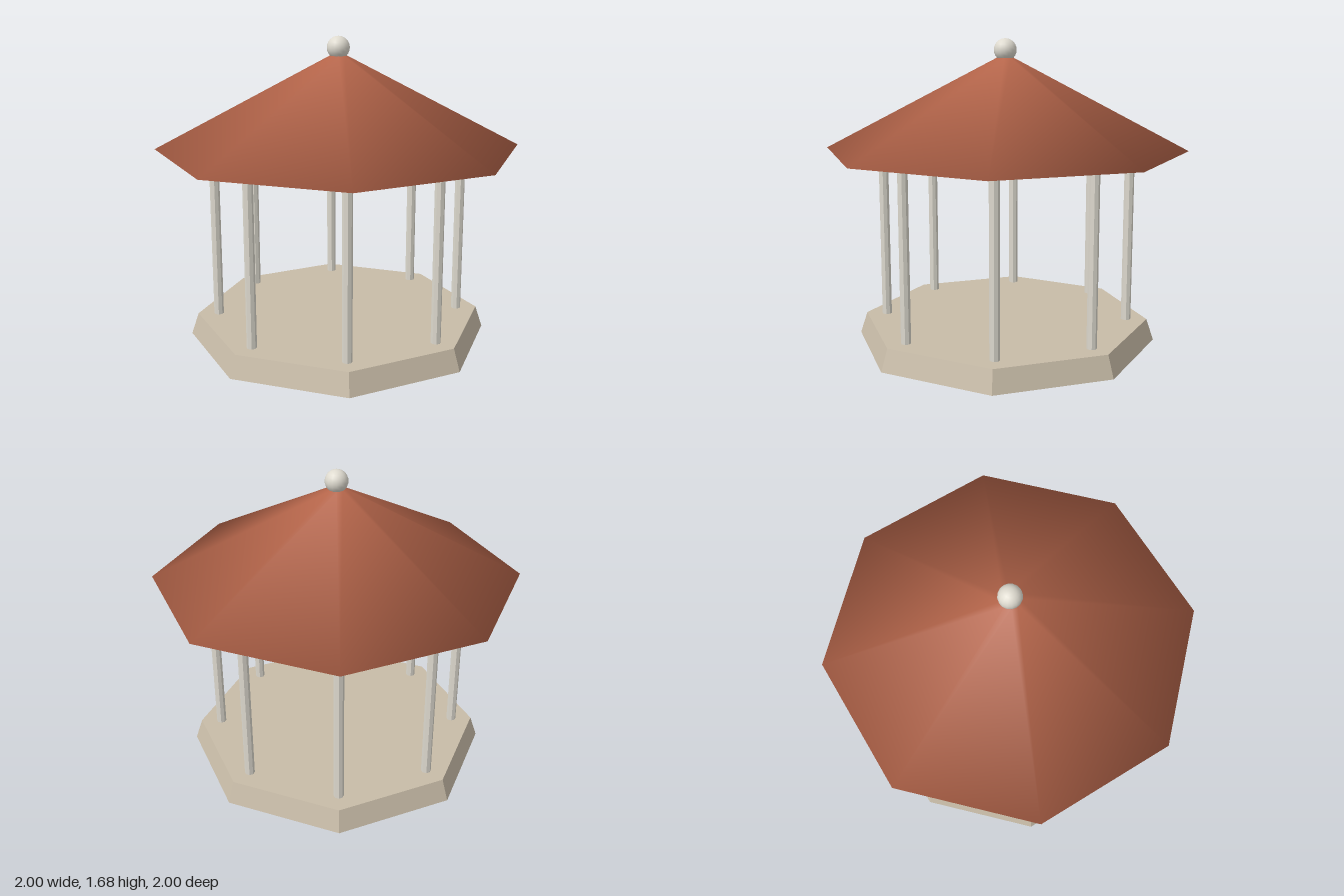
import * as THREE from 'three';
import { mergeVertices } from 'three/addons/utils/BufferGeometryUtils.js';

const SIDES = 8;

// Weld coincident corners so the normals run smoothly over the whole solid.
function welded(geometry) {
  geometry.deleteAttribute('normal');
  geometry.deleteAttribute('uv');
  const g = mergeVertices(geometry, 1e-4);
  g.computeVertexNormals();
  return g;
}

export function createModel() {
  const group = new THREE.Group();
  const stone = new THREE.MeshStandardMaterial({ color: 0xc8bca8, flatShading: true });
  const tile = new THREE.MeshStandardMaterial({ color: 0xb5654a });
  const post = new THREE.MeshStandardMaterial({ color: 0xdedacf, flatShading: true });
  const ball = new THREE.MeshStandardMaterial({ color: 0xdedacf });

  function add(name, geometry, material, x, y, z) {
    const mesh = new THREE.Mesh(geometry, material);
    mesh.name = name;
    mesh.position.set(x, y, z);
    group.add(mesh);
  }

  // Tapered octagonal floor
  add('base', new THREE.CylinderGeometry(0.8, 0.84, 0.12, SIDES), stone, 0, 0.06, 0);

  // One post towards each corner
  const postGeometry = new THREE.CylinderGeometry(0.027, 0.027, 0.96, 8);
  for (let i = 0; i < SIDES; i++) {
    const a = (i / SIDES) * Math.PI * 2;
    add('post' + (i + 1), postGeometry, post, Math.sin(a) * 0.683, 0.6, Math.cos(a) * 0.683);
  }

  // Closed octagonal roof with a small flat top
  add('roof', welded(new THREE.CylinderGeometry(0.045, 1, 0.5, SIDES)), tile, 0, 1.33, 0);

  // Ball on the peak
  add('finial', new THREE.SphereGeometry(0.062, 16, 12), ball, 0, 1.622, 0);

  return group;
}
